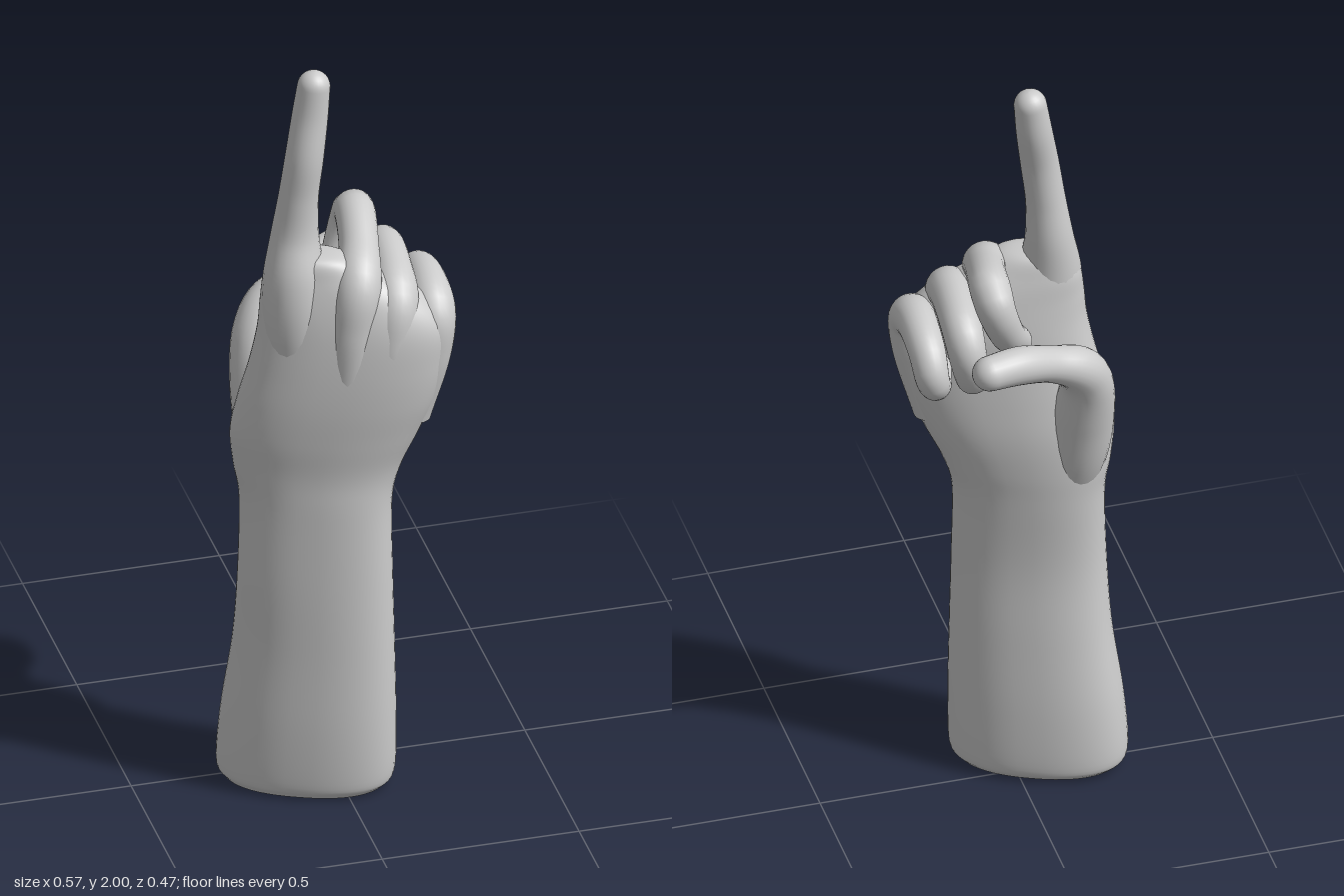
import * as THREE from 'three';

const material = new THREE.MeshStandardMaterial({ color: 0xcccccc });

// Closed skin over rings of equal point count (rings run counter-clockwise about the path)
function skin(name, rings) {
  const n = rings[0].length, index = [];
  for (let i = 0; i < rings.length - 1; i++) {
    for (let k = 0; k < n; k++) {
      const a = i * n + k, b = i * n + (k + 1) % n;
      index.push(a, b, a + n, b, b + n, a + n);
    }
  }
  const geometry = new THREE.BufferGeometry().setFromPoints(rings.flat());
  geometry.setIndex(index);
  geometry.computeVertexNormals();
  const mesh = new THREE.Mesh(geometry, material);
  mesh.name = name;
  return mesh;
}

// Tapering digit through [x, y, z, radius] joints, closed by a round tip
function digit(name, joints, steps = 48, sides = 24) {
  const curve = new THREE.CatmullRomCurve3(joints.map(j => new THREE.Vector3(j[0], j[1], j[2])));
  const radii = new THREE.CatmullRomCurve3(joints.map(j => new THREE.Vector3(j[3], 0, 0)), false, 'catmullrom');
  const { tangents, normals, binormals } = curve.computeFrenetFrames(steps);
  const ring = (p, i, r) => Array.from({ length: sides }, (_, k) => {
    const a = k / sides * Math.PI * 2;
    return p.clone().addScaledVector(normals[i], Math.cos(a) * r).addScaledVector(binormals[i], Math.sin(a) * r);
  });
  const rings = [];
  for (let i = 0; i <= steps; i++) {
    const t = curve.getUtoTmapping(i / steps);
    rings.push(ring(curve.getPoint(t), i, radii.getPoint(t).x));
  }
  const tip = curve.getPoint(1), r = joints[joints.length - 1][3];
  for (let j = 1; j <= 8; j++) {
    const a = j / 8 * Math.PI / 2;
    rings.push(ring(tip.clone().addScaledVector(tangents[steps], r * Math.sin(a)), steps, r * Math.cos(a)));
  }
  return skin(name, rings);
}

// Tilted rounded outline, normalised to a box from -1 to 1
function outline(sides = 56, tilt = 0.42) {
  const soft = v => Math.sign(v) * Math.abs(v) ** 0.86;
  const pts = Array.from({ length: sides }, (_, k) => {
    const a = k / sides * Math.PI * 2;
    const u = 0.225 * soft(Math.sin(a)), v = 0.135 * soft(Math.cos(a));
    return [u * Math.cos(tilt) - v * Math.sin(tilt), u * Math.sin(tilt) + v * Math.cos(tilt)];
  });
  const mx = Math.max(...pts.map(p => p[0])), mz = Math.max(...pts.map(p => p[1]));
  return pts.map(([x, z]) => [x / mx, z / mz]);
}

// Forearm and palm lofted through [y, xMin, xMax, zMin, zMax]
function forearmAndPalm() {
  const sections = [
    [0.0, -0.075, -0.075, 0.06, 0.06],
    [0.0, -0.24, 0.09, -0.06, 0.18],
    [0.012, -0.272, 0.125, -0.09, 0.207],
    [0.05, -0.285, 0.14, -0.103, 0.22],
    [0.2, -0.275, 0.14, -0.095, 0.225],
    [0.4, -0.25, 0.135, -0.07, 0.22],
    [0.6, -0.24, 0.13, -0.05, 0.213],
    [0.8, -0.235, 0.13, -0.053, 0.205],
    [0.9, -0.25, 0.155, -0.055, 0.202],
    [1.0, -0.26, 0.2, -0.05, 0.215],
    [1.1, -0.245, 0.238, -0.035, 0.228],
    [1.2, -0.22, 0.258, -0.02, 0.233],
    [1.3, -0.2, 0.262, -0.01, 0.228],
    [1.38, -0.192, 0.2, 0.0, 0.205],
    [1.45, -0.18, 0.09, 0.01, 0.17],
    [1.5, -0.15, 0.01, 0.03, 0.14],
    [1.51, -0.08, -0.08, 0.08, 0.08],
  ];
  const rail = f => new THREE.CatmullRomCurve3(sections.map(f), false, 'catmullrom');
  const low = rail(s => new THREE.Vector3(s[1], s[0], s[3]));
  const high = rail(s => new THREE.Vector3(s[2], s[0], s[4]));
  const shape = outline(), rings = [], steps = 96;
  for (let i = 0; i <= steps; i++) {
    const a = low.getPoint(i / steps), b = high.getPoint(i / steps);
    const c = a.clone().add(b).multiplyScalar(0.5), h = b.sub(a).multiplyScalar(0.5);
    rings.push(shape.map(([x, z]) => new THREE.Vector3(c.x + x * h.x, Math.max(0, c.y), c.z + z * h.z)));
  }
  return skin('forearmAndPalm', rings);
}

export function createModel() {
  const hand = new THREE.Group();
  hand.name = 'pointingHand';
  hand.add(forearmAndPalm());

  // Raised index finger
  hand.add(digit('indexFinger', [
    [-0.11, 1.15, 0.085, 0.06], [-0.112, 1.32, 0.092, 0.078], [-0.11, 1.44, 0.085, 0.077],
    [-0.103, 1.55, 0.068, 0.06], [-0.094, 1.66, 0.07, 0.05], [-0.08, 1.77, 0.073, 0.048],
    [-0.062, 1.88, 0.06, 0.045], [-0.052, 1.959, 0.057, 0.041],
  ]));

  // Curled fingers, each starting as a tendon ridge inside the back of the hand
  hand.add(digit('middleFinger', [
    [0.0, 1.12, 0.16, 0.05], [0.015, 1.32, 0.165, 0.058], [0.035, 1.43, 0.145, 0.06],
    [0.062, 1.482, 0.06, 0.05], [0.085, 1.51, -0.075, 0.051], [0.078, 1.47, -0.095, 0.048],
    [0.045, 1.38, -0.075, 0.043], [0.01, 1.32, -0.03, 0.04],
  ]));
  hand.add(digit('ringFinger', [
    [0.08, 1.08, 0.165, 0.05], [0.11, 1.28, 0.175, 0.056], [0.13, 1.375, 0.15, 0.058],
    [0.145, 1.41, 0.06, 0.051], [0.156, 1.4, -0.07, 0.05], [0.152, 1.35, -0.1, 0.047],
    [0.13, 1.26, -0.07, 0.042], [0.11, 1.25, 0.0, 0.04],
  ]));
  hand.add(digit('littleFinger', [
    [0.17, 1.04, 0.13, 0.055], [0.213, 1.22, 0.145, 0.06], [0.228, 1.32, 0.135, 0.058],
    [0.235, 1.354, 0.06, 0.05], [0.238, 1.335, -0.04, 0.046], [0.235, 1.28, -0.075, 0.042],
    [0.215, 1.236, -0.04, 0.038], [0.2, 1.25, 0.01, 0.036],
  ]));

  // Thumb crossing behind the curled fingers
  hand.add(digit('thumb', [
    [-0.13, 0.78, 0.04, 0.05], [-0.155, 0.93, 0.0, 0.072], [-0.163, 1.07, -0.03, 0.076],
    [-0.158, 1.2, -0.073, 0.064], [-0.125, 1.262, -0.103, 0.056], [-0.05, 1.305, -0.128, 0.046],
    [0.04, 1.342, -0.163, 0.048], [0.122, 1.355, -0.192, 0.044],
  ]));
  return hand;
}
